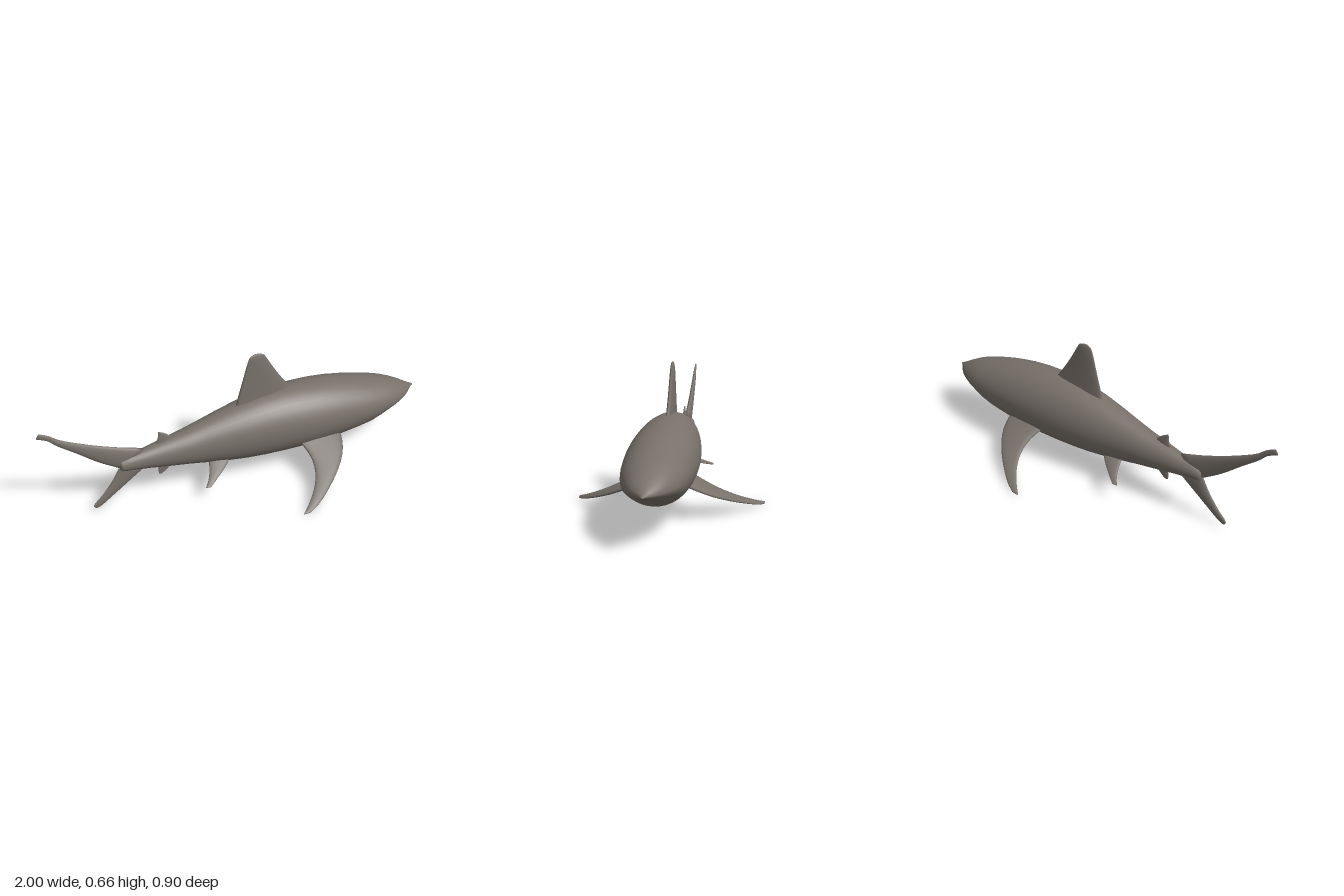
import * as THREE from 'three';

const skin = new THREE.MeshStandardMaterial({ color: 0x78716a });
skin.name = 'greySkin';

const V = (x, y, z = 0) => new THREE.Vector3(x, y, z);

// Closed smooth skin through rings of points, capped at both ends
function loft(name, rings) {
  const n = rings[0].length;
  const points = rings.flat();
  const centre = ring => ring.reduce((s, p) => s.add(p), V(0, 0)).divideScalar(n);
  const first = points.push(centre(rings[0])) - 1;
  const last = points.push(centre(rings.at(-1))) - 1;
  const index = [];
  const end = (rings.length - 1) * n;
  for (let j = 0; j < n; j++) {
    const k = (j + 1) % n;
    for (let i = 0; i < end; i += n) {
      index.push(i + j, i + k, i + n + j, i + k, i + n + k, i + n + j);
    }
    index.push(first, k, j, last, end + j, end + k);
  }
  // Turn the faces outward whichever way the rings run
  let volume = 0;
  for (let i = 0; i < index.length; i += 3) {
    const [a, b, c] = index.slice(i, i + 3).map(m => points[m]);
    volume += a.dot(b.clone().cross(c));
  }
  if (volume < 0) index.reverse();
  const geometry = new THREE.BufferGeometry().setFromPoints(points);
  geometry.setIndex(index);
  geometry.computeVertexNormals();
  const mesh = new THREE.Mesh(geometry, skin);
  mesh.name = name;
  return mesh;
}

// Fin with lens sections between a leading and a trailing edge
function fin(name, lead, trail, normal, rootThick, tipThick) {
  const a = new THREE.CatmullRomCurve3(lead), b = new THREE.CatmullRomCurve3(trail);
  const rings = [];
  const steps = 18, sides = 16;
  for (let i = 0; i <= steps; i++) {
    const t = i / steps;
    const p = a.getPoint(t), q = b.getPoint(t);
    const mid = p.clone().add(q).multiplyScalar(0.5);
    const half = p.sub(q).multiplyScalar(0.5);
    const thick = THREE.MathUtils.lerp(rootThick, tipThick, t);
    rings.push(Array.from({ length: sides }, (_, j) => {
      const u = j / sides * Math.PI * 2;
      return mid.clone().addScaledVector(half, Math.cos(u))
        .addScaledVector(normal, Math.sin(u) * thick);
    }));
  }
  return loft(name, rings);
}

export function createModel() {
  const group = new THREE.Group();
  group.name = 'shark';

  // Body stations: x, top, bottom, half width, height of the widest line
  const stations = [
    [-0.635, 0.258, 0.215, 0.022, 0.237], [-0.625, 0.27, 0.205, 0.032, 0.237],
    [-0.58, 0.28, 0.197, 0.036, 0.238], [-0.5, 0.293, 0.185, 0.046, 0.24],
    [-0.4, 0.315, 0.167, 0.062, 0.242], [-0.3, 0.335, 0.15, 0.077, 0.245],
    [-0.2, 0.362, 0.13, 0.092, 0.248], [-0.1, 0.388, 0.112, 0.11, 0.252],
    [0, 0.41, 0.099, 0.127, 0.256], [0.1, 0.428, 0.091, 0.141, 0.26],
    [0.2, 0.436, 0.088, 0.152, 0.262], [0.3, 0.436, 0.088, 0.159, 0.262],
    [0.4, 0.43, 0.092, 0.162, 0.262], [0.5, 0.417, 0.099, 0.161, 0.26],
    [0.6, 0.397, 0.112, 0.155, 0.256], [0.66, 0.383, 0.121, 0.149, 0.254],
    [0.7, 0.372, 0.13, 0.143, 0.252], [0.74, 0.361, 0.146, 0.136, 0.25],
    [0.78, 0.35, 0.168, 0.127, 0.248], [0.82, 0.337, 0.182, 0.115, 0.246],
    [0.87, 0.316, 0.2, 0.095, 0.246], [0.91, 0.296, 0.214, 0.074, 0.246],
    [0.945, 0.277, 0.227, 0.048, 0.246], [0.965, 0.266, 0.234, 0.029, 0.246],
    [0.985, 0.256, 0.24, 0.013, 0.247], [1, 0.25, 0.244, 0.004, 0.247],
  ];
  const sides = 36;
  group.add(loft('body', stations.map(([x, top, bottom, w, mid]) =>
    Array.from({ length: sides }, (_, j) => {
      const u = j / sides * Math.PI * 2, s = Math.sin(u);
      return V(x, mid + s * (s > 0 ? top - mid : mid - bottom), Math.cos(u) * w);
    }))));

  // Fins on the centre line
  const side = V(0, 0, 1);
  group.add(
    fin('dorsalFin',
      [V(0.3, 0.4), V(0.26, 0.44), V(0.19, 0.535), V(0.135, 0.625), V(0.115, 0.655), V(0.095, 0.664)],
      [V(-0.035, 0.39), V(-0.022, 0.44), V(0.005, 0.535), V(0.03, 0.625), V(0.042, 0.652), V(0.06, 0.664)],
      side, 0.021, 0.004),
    fin('secondDorsalFin',
      [V(-0.35, 0.29), V(-0.375, 0.33), V(-0.405, 0.355), V(-0.425, 0.365)],
      [V(-0.45, 0.27), V(-0.445, 0.31), V(-0.437, 0.34), V(-0.434, 0.367)],
      side, 0.01, 0.003),
    fin('analFin',
      [V(-0.355, 0.19), V(-0.38, 0.16), V(-0.405, 0.135), V(-0.425, 0.122)],
      [V(-0.445, 0.2), V(-0.445, 0.17), V(-0.444, 0.145), V(-0.443, 0.124)],
      side, 0.01, 0.003),
    fin('upperTailLobe',
      [V(-0.51, 0.3), V(-0.64, 0.345), V(-0.77, 0.4), V(-0.9, 0.468), V(-0.945, 0.505), V(-0.985, 0.527)],
      [V(-0.635, 0.22), V(-0.73, 0.285), V(-0.83, 0.37), V(-0.92, 0.445), V(-0.95, 0.477), V(-1, 0.502)],
      side, 0.018, 0.004),
    fin('lowerTailLobe',
      [V(-0.51, 0.19), V(-0.6, 0.128), V(-0.69, 0.065), V(-0.745, 0.028), V(-0.768, 0.02)],
      [V(-0.635, 0.23), V(-0.675, 0.16), V(-0.73, 0.09), V(-0.773, 0.048), V(-0.78, 0.036)],
      side, 0.016, 0.003));

  // Paired fins, sloping down and outward
  for (const [label, s] of [['right', 1], ['left', -1]]) {
    const normal = V(0, 0.898, 0.44 * s);
    const pectoral = (x, z) => V(x, 0.157 - (z - 0.14) * 0.49, z * s);
    const pelvic = (x, z) => V(x, 0.095 + (0.17 - z) * 0.5, z * s);
    group.add(
      fin(label + 'PectoralFin',
        [pectoral(0.5, 0.1), pectoral(0.485, 0.165), pectoral(0.45, 0.23), pectoral(0.39, 0.295),
          pectoral(0.31, 0.36), pectoral(0.22, 0.42), pectoral(0.16, 0.447)],
        [pectoral(0.26, 0.1), pectoral(0.28, 0.165), pectoral(0.284, 0.225), pectoral(0.265, 0.29),
          pectoral(0.225, 0.35), pectoral(0.165, 0.41), pectoral(0.118, 0.447)],
        normal, 0.018, 0.004),
      fin(label + 'PelvicFin',
        [pelvic(-0.08, 0.05), pelvic(-0.13, 0.095), pelvic(-0.195, 0.14), pelvic(-0.24, 0.17)],
        [pelvic(-0.2, 0.05), pelvic(-0.217, 0.095), pelvic(-0.24, 0.135), pelvic(-0.268, 0.168)],
        normal, 0.01, 0.003));
  }
  return group;
}
